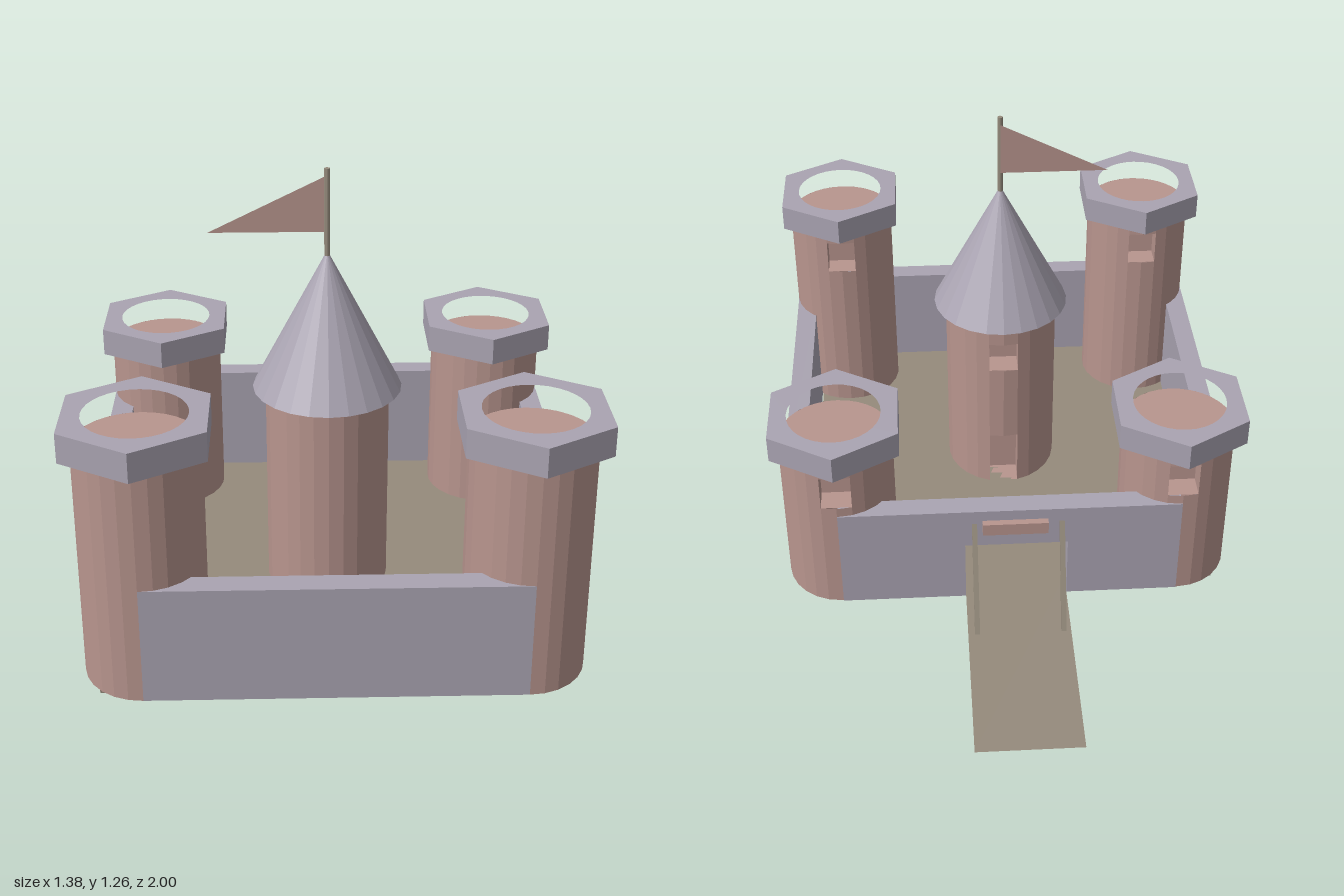
import * as THREE from 'three';

const paint = (color, side = THREE.FrontSide) =>
  new THREE.MeshStandardMaterial({ color, side, flatShading: true });
const brick = paint(0xb8958e), brickOpen = paint(0xb8958e, THREE.DoubleSide);
const brickInside = paint(0xb8958e, THREE.BackSide);
const stone = paint(0xaaa4b2);
const wood = paint(0x958b7c), woodThin = paint(0x958b7c, THREE.DoubleSide);

function add(parent, name, geometry, material, x = 0, y = 0, z = 0) {
  const mesh = new THREE.Mesh(geometry, material);
  mesh.name = name;
  mesh.position.set(x, y, z);
  parent.add(mesh);
  return mesh;
}

// Box given by its min and max corners
function block(parent, name, material, [x0, y0, z0], [x1, y1, z1]) {
  return add(parent, name, new THREE.BoxGeometry(x1 - x0, y1 - y0, z1 - z0), material,
    (x0 + x1) / 2, (y0 + y1) / 2, (z0 + z1) / 2);
}

// Round tower with recessed openings [bottom, top] in a column on its -z side
function roundTower(name, r, y0, y1, width, openings) {
  const g = new THREE.Group();
  g.name = name;
  const a = Math.asin(width / 2 / r);
  const arc = (part, lo, hi, start, length, segments) =>
    add(g, part, new THREE.CylinderGeometry(r, r, hi - lo, segments, 1, true, start, length),
      brickOpen, 0, (lo + hi) / 2, 0);

  arc('towerWall', y0, y1, Math.PI + a, 2 * Math.PI - 2 * a, 24);
  let from = y0;
  for (const [lo, hi] of [...openings, [y1, y1]]) {
    if (lo > from) arc('wallStrip', from, lo, Math.PI - a, 2 * a, 2);
    if (hi > lo) {
      const depth = 0.07;
      add(g, 'windowRecess', new THREE.BoxGeometry(width, hi - lo, depth), brickInside,
        0, (lo + hi) / 2, -r * Math.cos(a) + depth / 2);
    }
    from = hi;
  }
  const disc = new THREE.CircleGeometry(r, 32);
  add(g, 'towerTop', disc, brick, 0, y1, 0).rotation.x = -Math.PI / 2;
  add(g, 'towerBottom', disc, brick, 0, y0, 0).rotation.x = Math.PI / 2;
  return g;
}

// Hexagonal crown with a round well
function crownGeometry(radius, hole, height) {
  const shape = new THREE.Shape();
  for (let i = 0; i < 6; i++) {
    const t = i * Math.PI / 3;
    shape[i ? 'lineTo' : 'moveTo'](radius * Math.sin(t), radius * Math.cos(t));
  }
  shape.closePath();
  shape.holes.push(new THREE.Path().absarc(0, 0, hole, 0, 2 * Math.PI, true));
  return new THREE.ExtrudeGeometry(shape, { depth: height, bevelEnabled: false, curveSegments: 16 })
    .rotateX(-Math.PI / 2);
}

export function createModel() {
  const castle = new THREE.Group();
  castle.name = 'castle';
  const ground = 0.02, wallTop = 0.355, tx = 0.505, front = 0.78, back = -0.23, r = 0.168;

  // Floor
  block(castle, 'floor', wood, [-0.625, 0, -0.335], [0.605, ground, 0.885]);

  // Corner towers, the front pair taller
  const crown = crownGeometry(0.215, 0.137, 0.082);
  for (const x of [-tx, tx]) {
    for (const [z, top] of [[front, 0.692], [back, 0.525]]) {
      const tower = roundTower('cornerTower', r, ground, top, 0.09, [[top - 0.14, top - 0.03]]);
      tower.position.set(x, 0, z);
      add(tower, 'crown', crown, stone, 0, top, 0);
      castle.add(tower);
    }
  }

  // Curtain walls running between the tower centres
  const outer = 0.672, inner = 0.608;
  for (const s of [-1, 1]) {
    block(castle, 'sideWall', stone, [s < 0 ? -outer : inner, ground, back],
      [s < 0 ? -inner : outer, wallTop, front]);
  }
  block(castle, 'frontWall', stone, [-tx, ground, 0.883], [tx, wallTop, 0.948]);

  // Back wall with the gate cut out
  const g0 = -0.17, g1 = 0.135, gateTop = 0.225;
  const wall = new THREE.Shape([[-tx, ground], [g0, ground], [g0, gateTop], [g1, gateTop],
    [g1, ground], [tx, ground], [tx, wallTop], [-tx, wallTop]].map(p => new THREE.Vector2(...p)));
  add(castle, 'gateWall', new THREE.ExtrudeGeometry(wall, { depth: 0.065, bevelEnabled: false }),
    stone, 0, 0, -0.4);
  block(castle, 'gatePlaque', brick, [-0.11, 0.28, -0.42], [0.083, 0.32, -0.4]);

  // Drawbridge and its two slanted stays
  add(castle, 'drawbridge', new THREE.PlaneGeometry(g1 - g0, 0.665).rotateX(-Math.PI / 2),
    woodThin, (g0 + g1) / 2, ground, -0.6675);
  for (const x of [-0.147, 0.108]) {
    const stay = add(castle, 'bridgeStay', new THREE.BoxGeometry(0.015, 0.335, 0.015), wood,
      x, 0.187, -0.505);
    stay.rotation.x = Math.atan2(0.135, 0.305);
  }

  // Keep with door, window, cone roof and pennant
  const keep = new THREE.Group();
  keep.name = 'keep';
  keep.position.set(-0.01, 0, 0.318);
  castle.add(keep);
  const body = roundTower('keepBody', 0.175, ground, 0.625, 0.09, [[ground, 0.21], [0.47, 0.57]]);
  body.scale.z = 1.08;
  keep.add(body);
  add(keep, 'roof', new THREE.ConeGeometry(0.21, 0.405, 24), stone, 0, 0.8275, 0);
  add(keep, 'flagPole', new THREE.CylinderGeometry(0.008, 0.008, 0.25, 8), wood, 0, 1.138, 0);
  const pennant = new THREE.Shape([new THREE.Vector2(0, 1.08), new THREE.Vector2(0, 1.24),
    new THREE.Vector2(-0.325, 1.08)]);
  add(keep, 'pennant', new THREE.ShapeGeometry(pennant), brickOpen, 0, 0, -0.008);

  return castle;
}
